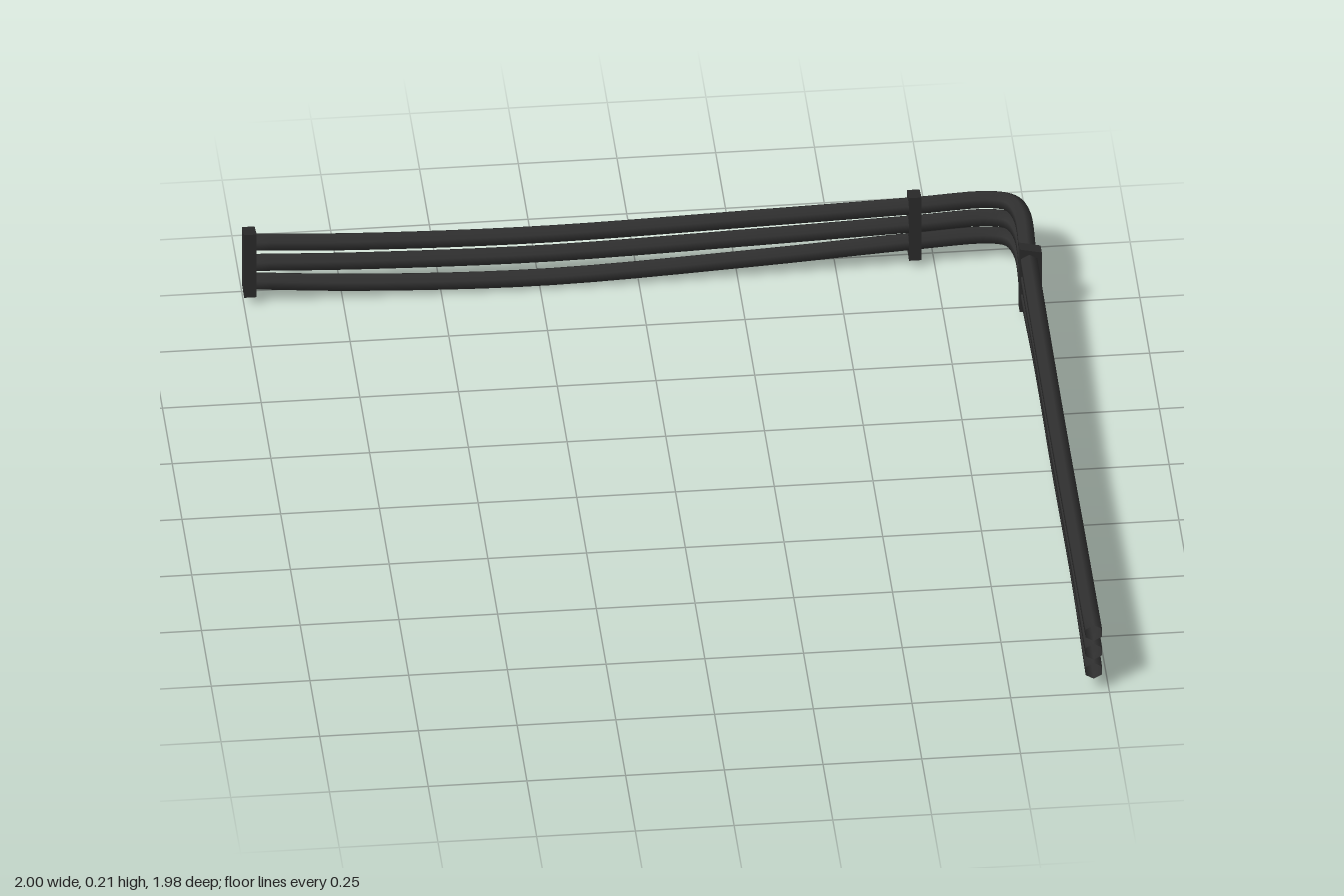
import * as THREE from 'three';

const cableMat = new THREE.MeshStandardMaterial({ color: 0x303030, side: THREE.DoubleSide });
const clampMat = new THREE.MeshStandardMaterial({ color: 0x2b2b2b });
cableMat.name = 'dark rubber';
clampMat.name = 'dark bracket';

const RADIUS = 0.024, SIDES = 6;

// Open six-sided tube with a ridge kept on top along the whole path
function cableGeometry(points) {
  const curve = new THREE.CatmullRomCurve3(points, false, 'centripetal');
  const steps = 64, pos = [], index = [];
  const up = new THREE.Vector3(0, 1, 0), side = new THREE.Vector3();
  for (let i = 0; i <= steps; i++) {
    const p = curve.getPoint(i / steps);
    side.crossVectors(curve.getTangent(i / steps), up).normalize();
    for (let j = 0; j < SIDES; j++) {
      const a = (j / SIDES) * Math.PI * 2;
      const s = Math.sin(a) * RADIUS;
      pos.push(p.x + side.x * s, p.y + Math.cos(a) * RADIUS, p.z + side.z * s);
      if (i < steps) {
        const k = (j + 1) % SIDES, b = i * SIDES;
        index.push(b + j, b + j + SIDES, b + k, b + k, b + j + SIDES, b + k + SIDES);
      }
    }
  }
  const g = new THREE.BufferGeometry();
  g.setAttribute('position', new THREE.Float32BufferAttribute(pos, 3));
  g.setIndex(index);
  g.computeVertexNormals();
  return g;
}

// Slim upright bracket, its top sloping down to the outside
function clampGeometry() {
  const s = new THREE.Shape();
  s.moveTo(-0.028, 0.025);
  s.lineTo(0.028, 0.03);
  s.lineTo(0.028, 0.203);
  s.lineTo(-0.028, 0.216);
  s.closePath();
  const g = new THREE.ExtrudeGeometry(s, { depth: 0.032, bevelEnabled: false });
  g.translate(0, 0, -0.016);
  return g;
}

export function createModel() {
  const group = new THREE.Group();

  // Per cable: heights at far end, back sag, corner, side sag, front end; sideways drift on each run
  const cables = [
    { name: 'upperCable', y: [0.177, 0.147, 0.178, 0.157, 0.175], dz: -0.004, dx: 0 },
    { name: 'middleCable', y: [0.115, 0.094, 0.123, 0.097, 0.118], dz: 0.004, dx: 0.002 },
    { name: 'lowerCable', y: [0.059, 0.026, 0.070, 0.042, 0.060], dz: 0.010, dx: 0.006 },
  ];
  const mix = THREE.MathUtils.lerp;
  for (const { name, y, dz, dx } of cables) {
    const pts = [
      [-0.985, y[0], -0.962],
      [-0.7, mix(y[0], y[1], 0.65), -0.964 + dz * 0.5],
      [-0.25, y[1], -0.964 + dz],
      [0.3, mix(y[1], y[2], 0.45), -0.964 + dz * 0.6],
      [0.7, y[2] - 0.004, -0.964],
      [0.89, y[2], -0.967],
      [0.942, y[2], -0.947],
      [0.964, y[2], -0.89],
      [0.963, y[2] - 0.003, -0.7],
      [0.963 + dx, mix(y[3], y[2], 0.4), -0.4],
      [0.963 + dx, y[3], 0.05],
      [0.963 + dx, mix(y[3], y[4], 0.4), 0.55],
      [0.962, y[4], 0.985],
    ].map((p) => new THREE.Vector3(...p));
    const mesh = new THREE.Mesh(cableGeometry(pts), cableMat);
    mesh.name = name;
    group.add(mesh);
  }

  // Brackets: wall end, and one either side of the bend
  const geo = clampGeometry();
  const addClamp = (name, x, z, turn) => {
    const m = new THREE.Mesh(geo, clampMat);
    m.name = name;
    m.position.set(x, 0, z);
    m.rotation.y = turn;
    group.add(m);
  };
  addClamp('endClamp', -0.984, -0.965, Math.PI / 2);
  addClamp('backCornerClamp', 0.7, -0.965, Math.PI / 2);
  addClamp('sideCornerClamp', 0.967, -0.697, 0);
  return group;
}
